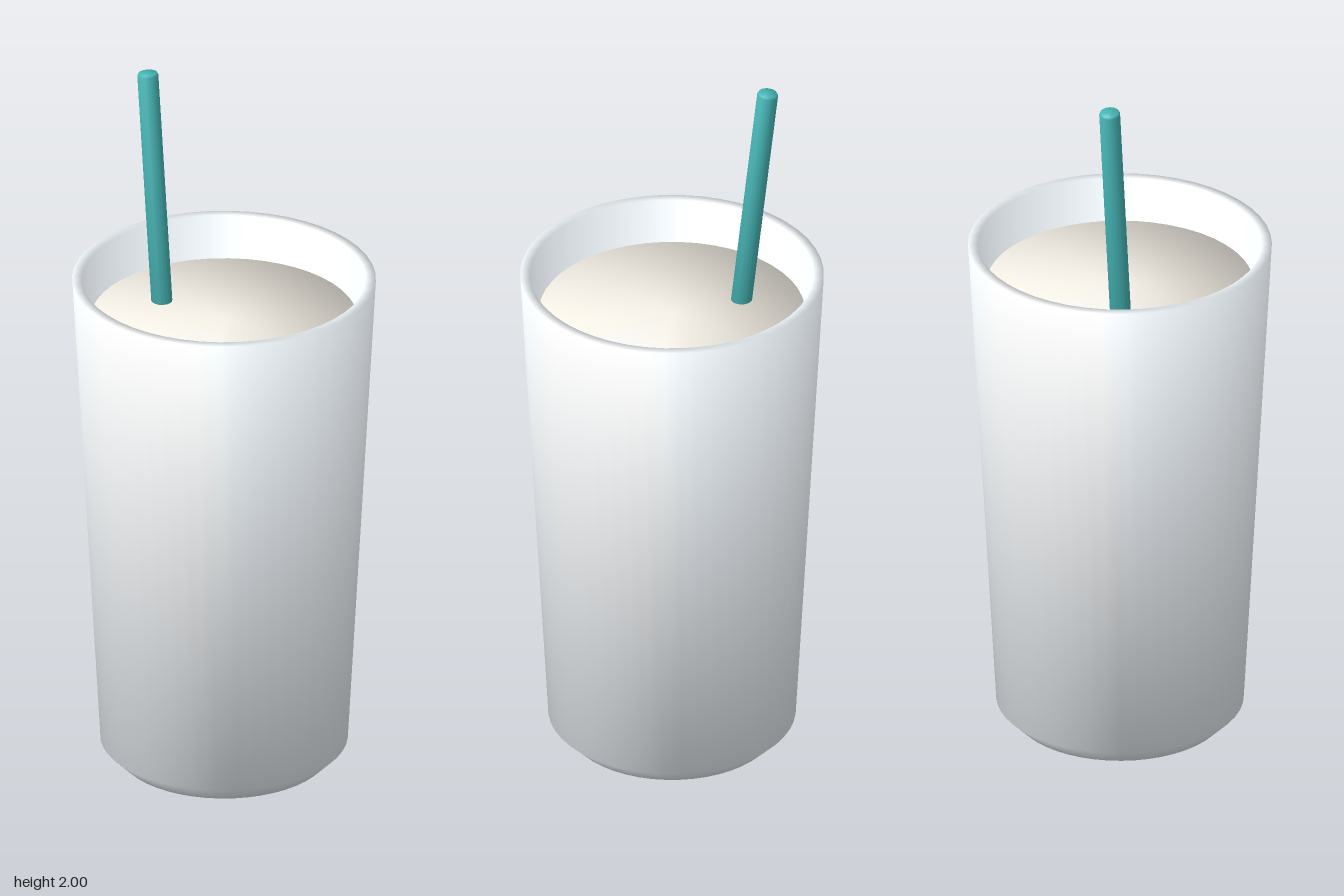
import * as THREE from 'three';

function part(name, geometry, color) {
  const mesh = new THREE.Mesh(geometry, new THREE.MeshStandardMaterial({ color }));
  mesh.name = name;
  return mesh;
}

// Solid of revolution from [radius, height] pairs, shaded softly across its
// edges: each ring's normal is the even mean of the two faces that meet there
function softLathe(profile, sides) {
  const points = profile.map(([r, y]) => new THREE.Vector2(r, y));
  const faces = points.slice(1).map((p, j) =>
    new THREE.Vector2(p.y - points[j].y, points[j].x - p.x).normalize());
  const rings = points.map((_, j) => {
    const before = faces[Math.max(j - 1, 0)];
    const after = faces[Math.min(j, faces.length - 1)];
    return before.clone().add(after).normalize();
  });
  const geometry = new THREE.LatheGeometry(points, sides);
  const normal = geometry.attributes.normal;
  for (let i = 0; i <= sides; i++) {
    const angle = (i / sides) * Math.PI * 2;
    rings.forEach((n, j) => normal.setXYZ(
      i * rings.length + j, n.x * Math.sin(angle), n.y, n.x * Math.cos(angle)));
  }
  return geometry;
}

// Rod between two points, with a slightly eased upper end
function rod(from, to, radius) {
  const dir = to.clone().sub(from);
  const length = dir.length();
  const turn = new THREE.Quaternion().setFromUnitVectors(
    new THREE.Vector3(0, 1, 0), dir.normalize());
  return softLathe([
    [0, 0], [radius, 0], [radius, length - 0.006], [radius - 0.003, length], [0, length],
  ], 16).applyQuaternion(turn).translate(from.x, from.y, from.z);
}

export function createModel() {
  const group = new THREE.Group();
  group.name = 'tumbler';

  // Tapered cup: bevelled foot, outer wall, flat rim, inner wall and floor
  group.add(part('cup', softLathe([
    [0, 0], [0.29, 0], [0.34, 0.05], [0.417, 1.45],
    [0.39, 1.45], [0.31, 0.06], [0, 0.06],
  ], 48), 0xf0f6fb));

  // Drink filling the cup to just below the rim
  group.add(part('drink', softLathe([
    [0, 0.08], [0.29, 0.08], [0.366, 1.33], [0, 1.33],
  ], 48), 0xf8f3e9));

  // Leaning straw, running down into the drink
  const top = new THREE.Vector3(-0.25, 1.997, -0.1);
  const bottom = new THREE.Vector3(-0.11, 0.3, 0.02);
  group.add(part('straw', rod(bottom, top, 0.029), 0x46b6b6));

  return group;
}
